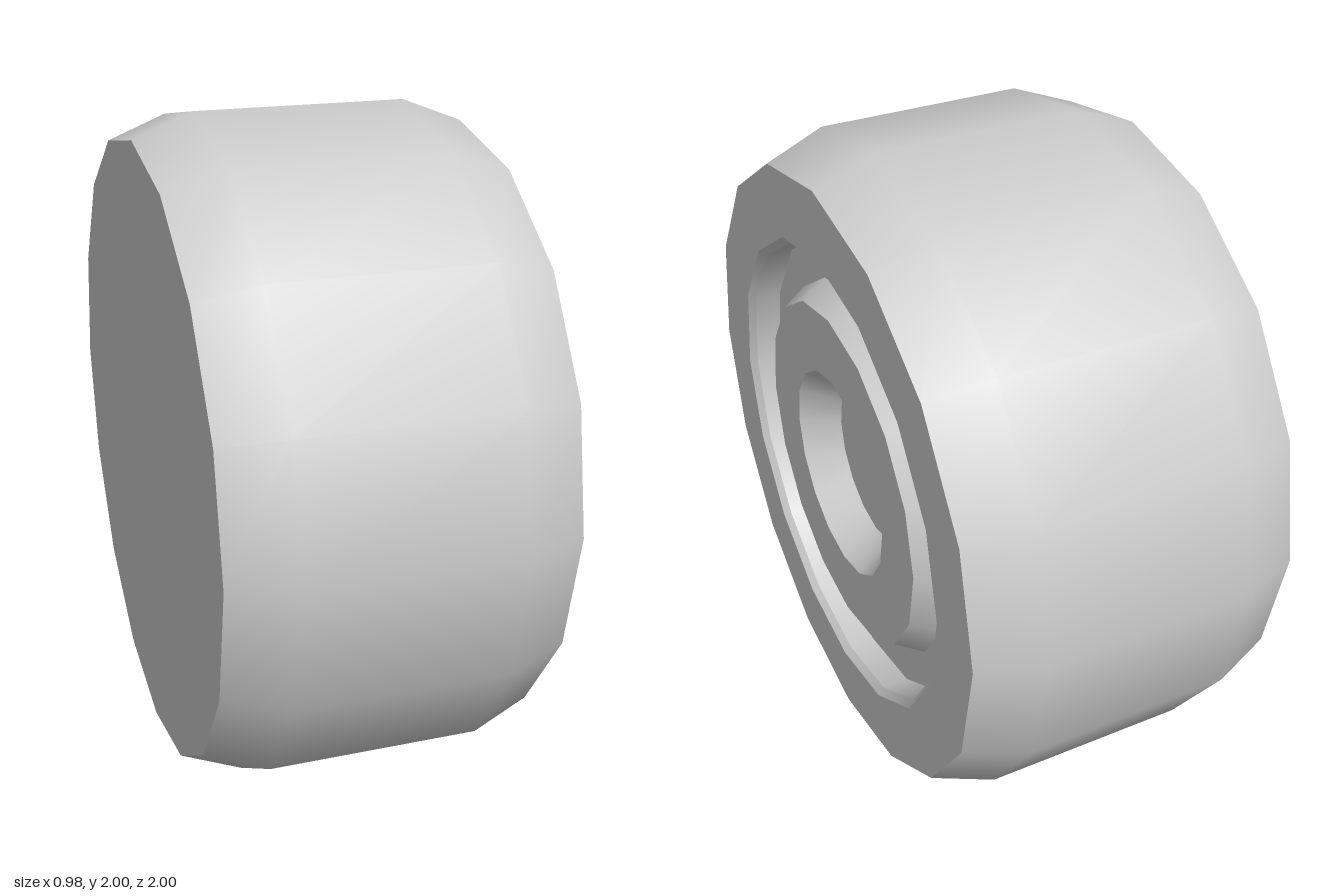
import * as THREE from 'three';

const SIDES = 16;

export function createModel() {
  const group = new THREE.Group();
  group.name = 'wheel';
  const material = new THREE.MeshStandardMaterial({ color: 0xcccccc });

  // Revolve [x, radius] pairs around the axle; each strip is smooth, with hard edges between strips
  function ring(name, ...profile) {
    const points = profile.map(([x, r]) => new THREE.Vector2(r, x));
    const geometry = new THREE.LatheGeometry(points, SIDES);
    geometry.rotateZ(-Math.PI / 2);
    const mesh = new THREE.Mesh(geometry, material);
    mesh.name = name;
    mesh.position.y = 1;
    group.add(mesh);
  }

  // Tyre: closed flat back, tread with bevelled shoulders, flat sidewall
  ring('backFace', [-0.49, 0], [-0.49, 0.93]);
  ring('tread', [-0.49, 0.93], [-0.31, 1], [0.31, 1], [0.49, 0.93]);
  ring('sidewall', [0.49, 0.93], [0.49, 0.72]);

  // Groove between the tyre and the hub
  ring('rimLip', [0.49, 0.72], [0.47, 0.7]);
  ring('grooveWall', [0.47, 0.7], [0.39, 0.7]);
  ring('grooveFloor', [0.39, 0.7], [0.39, 0.58]);

  // Raised hub with a dished centre
  ring('hubSlope', [0.39, 0.58], [0.47, 0.53]);
  ring('hubFace', [0.47, 0.53], [0.47, 0.32]);
  ring('dishWall', [0.47, 0.32], [0.36, 0.245]);
  ring('dishFloor', [0.36, 0.245], [0.36, 0]);

  return group;
}
